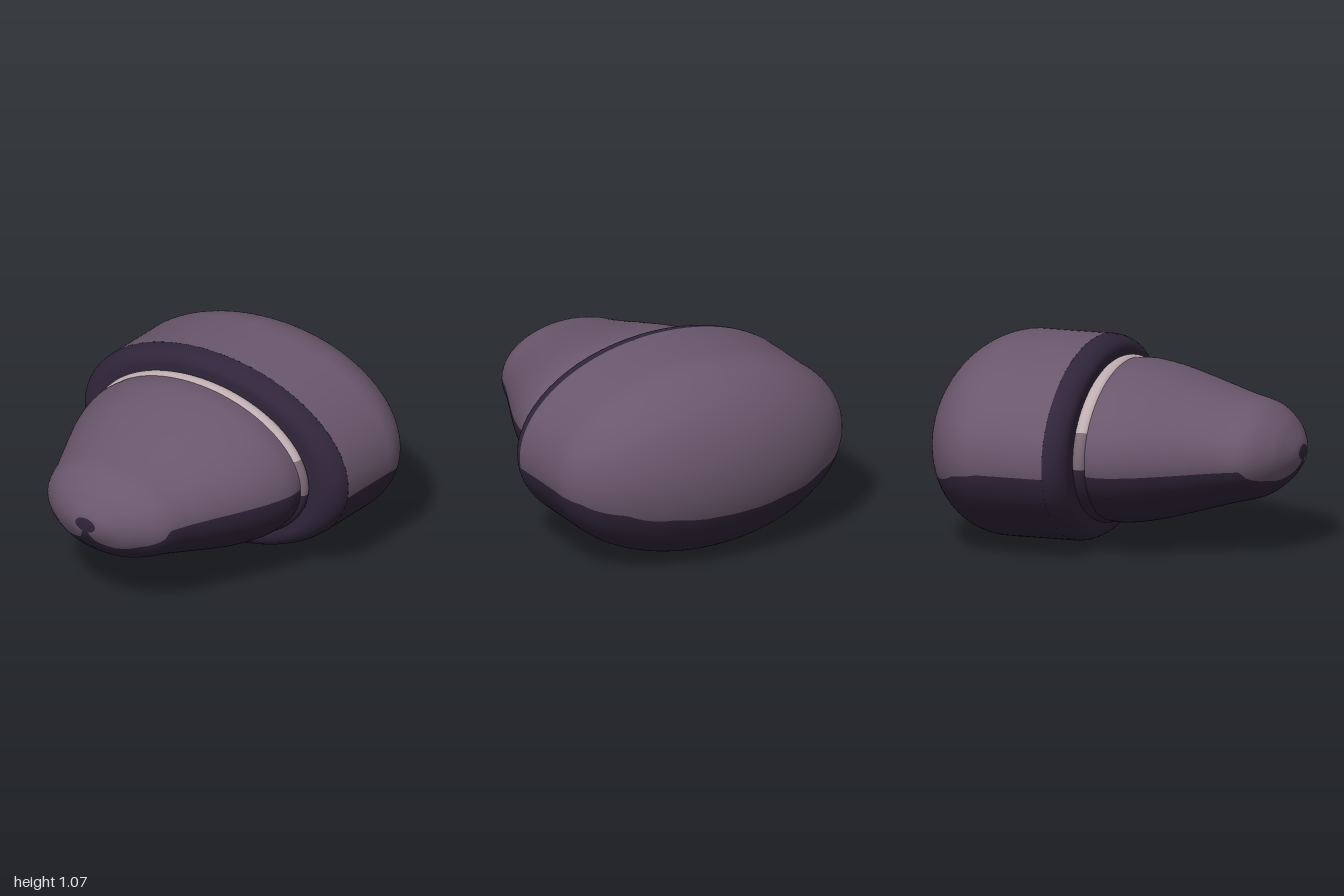
import * as THREE from 'three';

const CENTER_Y = 0.54, SQUASH = 0.62, DEG = Math.PI / 180;
const paint = (name, color) => {
  const m = new THREE.MeshStandardMaterial({ color });
  m.name = name;
  return m;
};

// Linear lookup in a table of [z, angle] sorted by falling z
function lookup(table, z) {
  if (z >= table[0][0]) return table[0][1];
  for (let i = 1; i < table.length; i++) {
    const [z0, v0] = table[i - 1], [z1, v1] = table[i];
    if (z >= z1) return v0 + (v1 - v0) * (z - z0) / (z1 - z0);
  }
  return table[table.length - 1][1];
}

// Profile points (z, r) from front to back, with normals from the neighbours
function makeRows(points) {
  return points.map((p, i) => {
    const a = points[Math.max(i - 1, 0)], b = points[Math.min(i + 1, points.length - 1)];
    return { z: p.x, r: p.y, nr: a.x - b.x, nz: b.y - a.y };
  });
}

// Oval shell through the rows, between two angles that may vary with z
function shell(name, material, rows, from, to, segs = 64) {
  const pos = [], nor = [], idx = [], n = new THREE.Vector3();
  rows.forEach(({ z, r, nr, nz }, i) => {
    const a = from(z) * DEG, b = to(z) * DEG;
    for (let j = 0; j <= segs; j++) {
      const t = a + (b - a) * j / segs, c = Math.cos(t), s = Math.sin(t);
      pos.push(r * c, CENTER_Y + r * s * SQUASH, z);
      n.set(nr * c, nr * s / SQUASH, nz).normalize();
      nor.push(n.x, n.y, n.z);
      if (i < rows.length - 1 && j < segs) {
        const k = i * (segs + 1) + j, m = k + segs + 1;
        idx.push(k, m, k + 1, k + 1, m, m + 1);
      }
    }
  });
  const g = new THREE.BufferGeometry();
  g.setAttribute('position', new THREE.Float32BufferAttribute(pos, 3));
  g.setAttribute('normal', new THREE.Float32BufferAttribute(nor, 3));
  g.setIndex(idx);
  const mesh = new THREE.Mesh(g, material);
  mesh.name = name;
  return mesh;
}

// Points on an elliptic arc in (z, r)
function arc(z, r, rz, rr, a0, a1, n) {
  return Array.from({ length: n + 1 }, (_, i) => {
    const a = (a0 + (a1 - a0) * i / n) * DEG;
    return new THREE.Vector2(z + rz * Math.cos(a), r + rr * Math.sin(a));
  });
}

export function createModel() {
  const mauve = paint('mauve', 0x6a576c);
  const dark = paint('dark purple', 0x30253a);
  const pale = paint('pale pink grey', 0xbfaeb0);
  const rose = paint('dusky rose', 0x7d6a76);
  const model = new THREE.Group();
  const all = [() => 0, () => 360];

  // Tapered stem with a rounded nose
  const stemCurve = new THREE.SplineCurve([
    [0.995, 0], [0.986, 0.09], [0.95, 0.19], [0.9, 0.285], [0.8, 0.395], [0.65, 0.46],
    [0.5, 0.53], [0.4, 0.577], [0.25, 0.642], [0.1, 0.684], [0, 0.68], [-0.07, 0.66],
  ].map(([z, r]) => new THREE.Vector2(z, r)));
  const stemRows = makeRows(stemCurve.getPoints(88));
  const tipEnd = stemRows.findIndex(row => row.r > 0.06);
  const tip = stemRows.slice(0, tipEnd + 1), stem = stemRows.slice(tipEnd);

  // Dark underside edge on each side of the stem, in degrees below the middle
  const leftEdge = z => lookup([[0.985, 74], [0.965, 72], [0.94, 58], [0.88, 28], [0.8, 10], [0.78, -1.5], [0, -1.5]], z);
  const rightEdge = z => lookup([[0.985, 74], [0.965, 72], [0.94, 60], [0.88, 36], [0.8, 20], [0.77, 10], [0, 9.5]], z);
  model.add(
    shell('noseTip', dark, tip, ...all),
    shell('stemTop', mauve, stem, z => -leftEdge(z), z => 180 + rightEdge(z)),
    shell('stemUnderside', dark, stem, z => 180 + rightEdge(z), z => 360 - leftEdge(z)),
  );

  // Collar ring, split into bands by angle
  const ringRows = makeRows(arc(-0.035, 0.662, 0.037, 0.038, 0, 180, 14));
  [['collarTop', pale, 22, 158], ['collarLeft', rose, -4, 22],
    ['collarRight', rose, 158, 184], ['collarUnderside', dark, 184, 356]]
    .forEach(([name, material, a, b]) => model.add(shell(name, material, ringRows, () => a, () => b)));

  // Broad cap: flat front, rounded lip, straight side and domed back
  const capRows = makeRows([
    new THREE.Vector2(-0.07, 0.55), new THREE.Vector2(-0.07, 0.73),
    ...arc(-0.18, 0.745, 0.11, 0.118, 0, 90, 12),
    new THREE.Vector2(-0.2, 0.863), new THREE.Vector2(-0.37, 0.863),
    new THREE.Vector2(-0.53, 0.863),
    ...arc(-0.55, 0, 0.45, 0.863, 90, 180, 40),
  ]);
  const lipEnd = capRows.findIndex(row => row.z <= -0.1799);
  const lip = capRows.slice(0, lipEnd + 1), cap = capRows.slice(lipEnd);
  const capEdge = z => lookup([[-0.18, 6.5], [-0.55, 6.5], [-0.7, 10], [-0.85, 21],
    [-0.93, 43], [-0.95, 62], [-0.958, 90]], z);
  model.add(
    shell('capLip', dark, lip, ...all),
    shell('capTop', mauve, cap, z => -capEdge(z), z => 180 + capEdge(z)),
    shell('capUnderside', dark, cap.filter(row => row.z > -0.965), z => 180 + capEdge(z), z => 360 - capEdge(z)),
  );
  return model;
}
